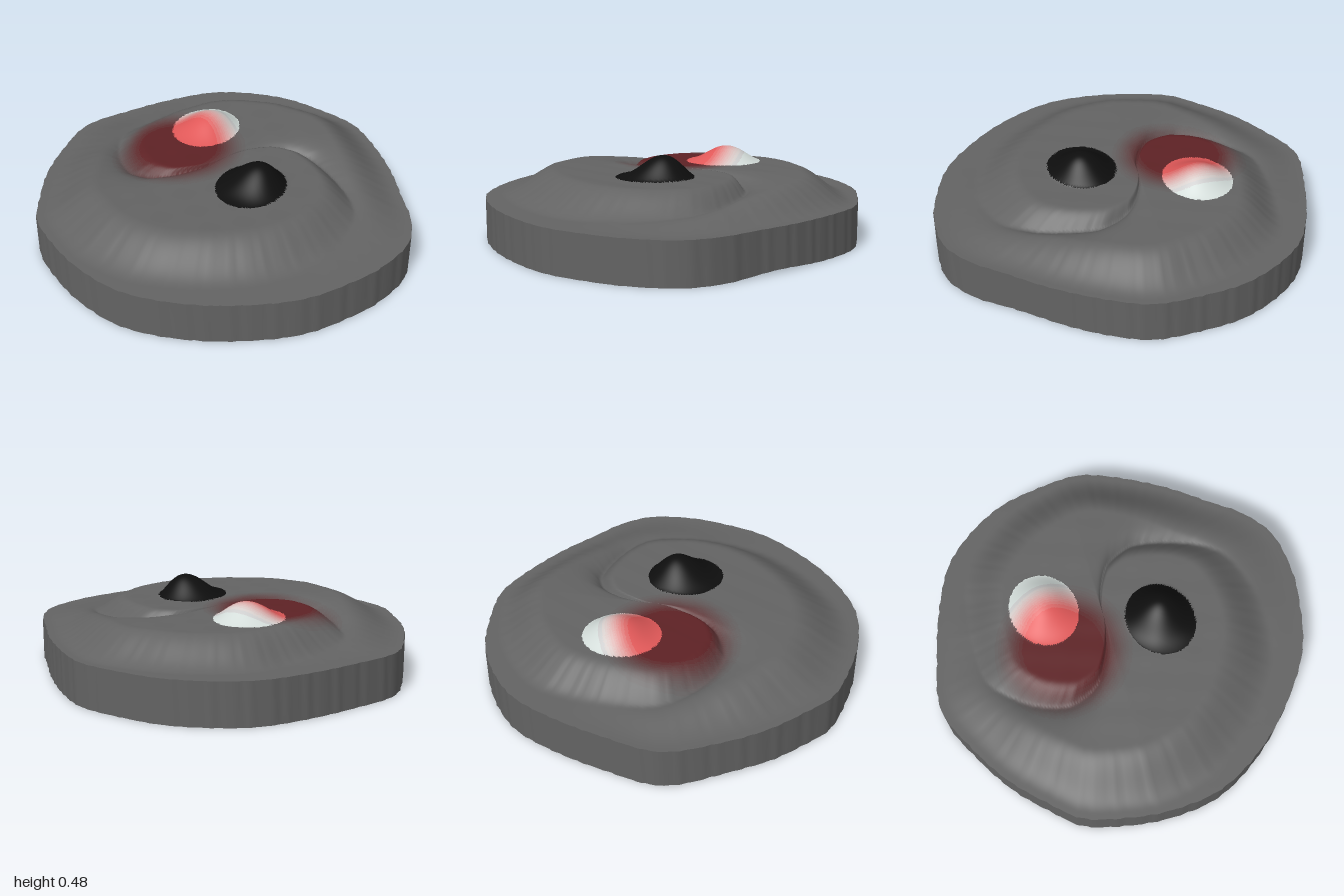
import * as THREE from 'three';

const N = 270, M = 96;          // grid steps around and outward
const CZ = -0.08;               // centre of the swirl on z
const TOP = 0.36, RIM = 0.225;  // plateau and rim heights

const smooth = (a, b, x) => THREE.MathUtils.smoothstep(x, a, b);

// Linear lookup in a list of [key, value] pairs
function lookup(table, x) {
  for (let i = 1; i < table.length; i++) {
    const [a, va] = table[i - 1], [b, vb] = table[i];
    if (x <= b) return va + (vb - va) * Math.max(0, (x - a) / (b - a));
  }
  return table[table.length - 1][1];
}

// Irregular outline of the disc, as [x, z], rounded by a closed curve
const outline = [
  [0, -1], [-0.2, -0.98], [-0.43, -0.87], [-0.65, -0.72], [-0.88, -0.52], [-0.96, -0.25],
  [-0.99, 0], [-0.97, 0.25], [-0.94, 0.42], [-0.82, 0.6], [-0.65, 0.78], [-0.4, 0.94],
  [-0.05, 0.995], [0.3, 0.95], [0.5, 0.88], [0.7, 0.74], [0.83, 0.62], [0.97, 0.4],
  [0.985, 0.2], [0.94, 0], [0.88, -0.25], [0.76, -0.55], [0.66, -0.71], [0.45, -0.86], [0.25, -0.96],
].map(([x, z]) => new THREE.Vector3(x, 0, z));
const polar = new THREE.CatmullRomCurve3(outline, true).getPoints(150).slice(1)
  .map((p) => [Math.atan2(p.z - CZ, p.x), Math.hypot(p.x, p.z - CZ)])
  .sort((a, b) => a[0] - b[0]);
const first = polar[0], last = polar[polar.length - 1];
const rimTable = [[last[0] - 2 * Math.PI, last[1]], ...polar, [first[0] + 2 * Math.PI, first[1]]];
const rimRadius = (phi) =>
  lookup(rimTable, Math.atan2(Math.sin(phi), Math.cos(phi))) +
  0.002 * Math.sin(phi * 61 + 1) + 0.0015 * Math.sin(phi * 97);

// Spiral step, by angle in degrees: foot radius, slope width, tail height, groove depth
const FOOT = [[-50, 0], [-40, 0.15], [-30, 0.35], [-15, 0.51], [6, 0.63], [22, 0.7], [36, 0.75], [51, 0.81], [75, 0.88], [100, 0.91], [130, 0.97]];
const WIDTH = [[-50, 0.05], [-30, 0.09], [-15, 0.13], [10, 0.16], [40, 0.21], [75, 0.27], [130, 0.29]];
const TAIL = [[-50, TOP], [-30, 0.352], [-15, 0.34], [0, 0.325], [20, 0.295], [40, 0.26], [65, RIM], [130, RIM]];
const GROOVE = [[-50, 0], [-40, 0.02], [-25, 0.05], [-10, 0.055], [10, 0.045], [30, 0.02], [50, 0], [130, 0]];

// Two raised oval eyes, with the summit a little off centre
const eyes = [
  { name: 'blackEye', x: 0.15, z: 0.185, px: 0.19, pz: 0.15, h: 0.117, color: 0x0e0e0e },
  { name: 'whiteEye', x: -0.155, z: -0.357, px: -0.135, pz: -0.37, h: 0.086, color: 0xd3dcd9, stain: 0xe05858 },
];
function eyeDistance(e, x, z) {
  const dx = x - e.x, dz = z - e.z;
  return Math.hypot((dx * 0.4 - dz * 0.917) / 0.205, (dx * 0.917 + dz * 0.4) / 0.18);
}

// Height of the relief; the swirl repeats after half a turn
function height(phi, f, x, z) {
  const deg = ((((phi * 180) / Math.PI + 50) % 180) + 180) % 180 - 50;
  const foot = lookup(FOOT, deg), width = lookup(WIDTH, deg);
  const tail = RIM + (lookup(TAIL, deg) - RIM) * (1 - smooth(0.68, 0.97, f));
  const groove = lookup(GROOVE, deg) * Math.exp(-Math.abs(f - foot) / 0.08);
  let y = THREE.MathUtils.lerp(TOP, tail - groove, smooth(foot - width, foot, f));
  for (const e of eyes) {
    const d = eyeDistance(e, x, z);
    if (d < 1) {
      const d2 = (x - e.px) ** 2 + (z - e.pz) ** 2;
      y += e.h * Math.exp(-d2 / 0.023) * (1 - d ** 4);
    }
  }
  // Faint unevenness, fading out at the rim
  return y + 0.002 * (1 - f) * Math.sin(x * 23 + z * 9) * Math.sin(z * 27 - x * 7);
}

// Soft round red stain, in steps from 0 to 1
const STEPS = 12;
const stainLevel = (x, z) =>
  Math.round(STEPS * (1 - smooth(0.19, 0.39, Math.hypot(x + 0.28, z + 0.145))));

export function createModel() {
  const group = new THREE.Group();
  group.name = 'swirlDisc';
  const SHELL = 0x636363, SHELL_STAIN = 0x5e2225;

  const addMesh = (name, geometry, color) => {
    const mesh = new THREE.Mesh(geometry,
      new THREE.MeshStandardMaterial({ color, side: THREE.DoubleSide }));
    mesh.name = name;
    group.add(mesh);
  };

  // Relief surface on a polar grid
  const pos = [], all = [], parts = new Map();
  for (let j = 0; j <= M; j++) {
    for (let i = 0; i < N; i++) {
      const phi = (i / N) * 2 * Math.PI, f = j / M, r = f * rimRadius(phi);
      const x = r * Math.cos(phi), z = CZ + r * Math.sin(phi);
      pos.push(x, height(phi, f, x, z), z);
    }
  }
  // Sort the faces into parts by eye and by stain strength
  const addFace = (...tri) => {
    const x = tri.reduce((s, k) => s + pos[k * 3], 0) / 3;
    const z = tri.reduce((s, k) => s + pos[k * 3 + 2], 0) / 3;
    const eye = eyes.find((e) => eyeDistance(e, x, z) < 1);
    const base = eye ? eye.color : SHELL;
    const stain = eye ? eye.stain : SHELL_STAIN;
    const level = stain === undefined ? 0 : stainLevel(x, z);
    const name = (eye ? eye.name : 'topSurface') + (level ? 'Stain' + level : '');
    if (!parts.has(name)) {
      const color = new THREE.Color(base);
      if (level) color.lerp(new THREE.Color(stain), level / STEPS);
      parts.set(name, { color, index: [] });
    }
    parts.get(name).index.push(...tri);
    all.push(...tri);
  };
  for (let j = 0; j < M; j++) {
    for (let i = 0; i < N; i++) {
      const n = (i + 1) % N;
      const a = j * N + i, b = j * N + n, c = a + N, d = b + N;
      if (j > 0) addFace(a, b, c);
      addFace(b, d, c);
    }
  }
  const surface = new THREE.BufferGeometry();
  surface.setAttribute('position', new THREE.Float32BufferAttribute(pos, 3));
  surface.setIndex(all);
  surface.computeVertexNormals();
  for (const [name, { color, index }] of parts) {
    surface.setIndex(index);
    addMesh(name, surface.toNonIndexed(), color);
  }

  // Upright rim wall, open underneath, with a slightly lifted lower edge at the sides
  const wallPos = [], wallIndex = [];
  for (let i = 0; i < N; i++) {
    const k = (M * N + i) * 3, x = pos[k], y = pos[k + 1], z = pos[k + 2];
    const lift = 0.015 * Math.exp(-(((z + 0.15) / 0.2) ** 2));
    wallPos.push(x, y, z, x, lift, z);
    const a = i * 2, b = ((i + 1) % N) * 2;
    wallIndex.push(a, b, a + 1, b, b + 1, a + 1);
  }
  const wall = new THREE.BufferGeometry();
  wall.setAttribute('position', new THREE.Float32BufferAttribute(wallPos, 3));
  wall.setIndex(wallIndex);
  wall.computeVertexNormals();
  addMesh('rimWall', wall, SHELL);

  return group;
}
